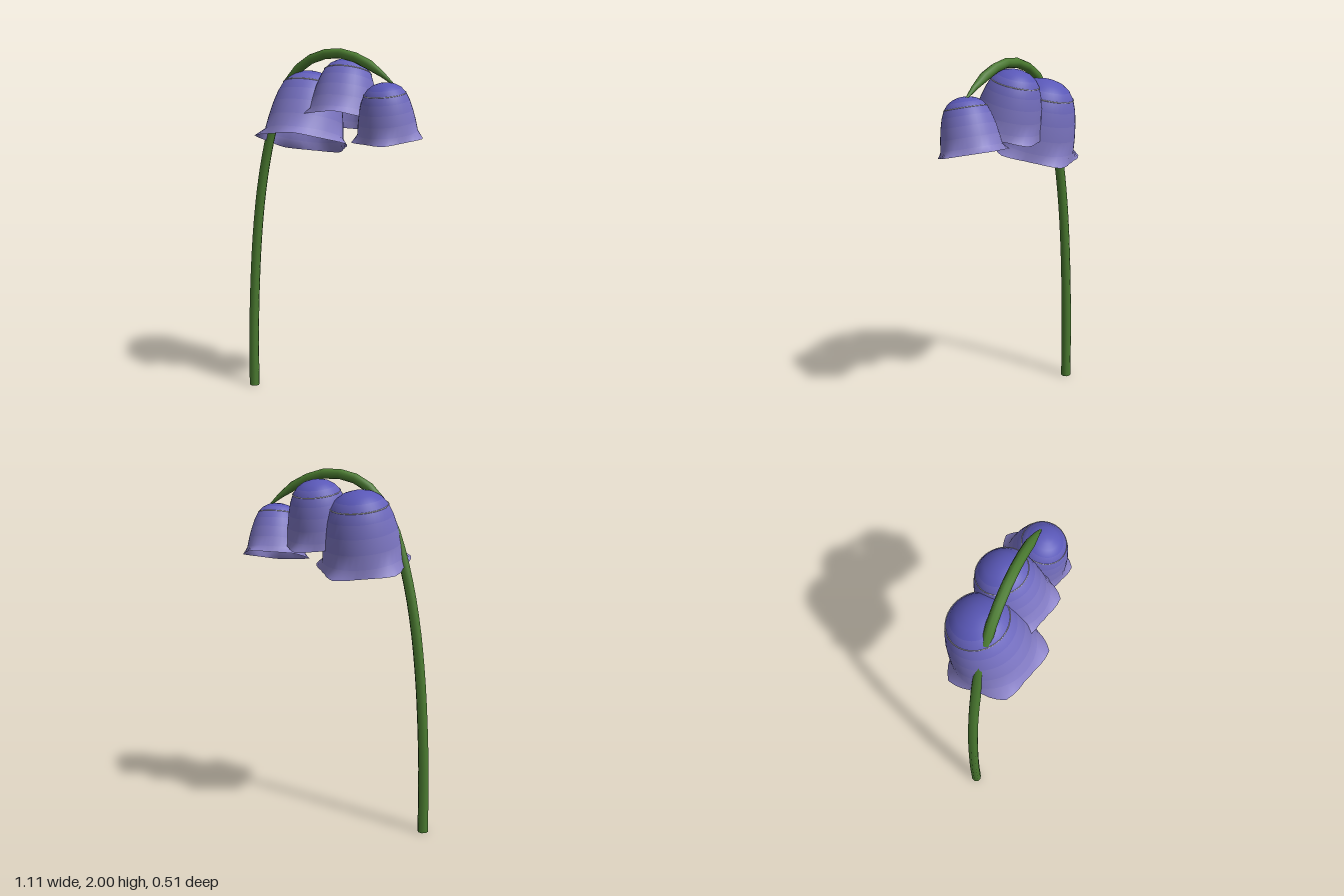
import * as THREE from 'three';
import { mergeVertices } from 'three/addons/utils/BufferGeometryUtils.js';

// Bell profile from crown to mouth: [height above mouth, radius]
const PROFILE = [
  [0.405, 0], [0.402, 0.04], [0.389, 0.085], [0.363, 0.125], [0.325, 0.155],
  [0.27, 0.178], [0.2, 0.197], [0.12, 0.212], [0.045, 0.222], [0, 0.235],
];
const SEGMENTS = 40;

// Colour runs from deep violet at the crown to pale lilac at the lip
const bellMaterials = PROFILE.slice(1).map((_, i, rows) => new THREE.MeshStandardMaterial({
  color: new THREE.Color(0x5a58b8).lerp(new THREE.Color(0x8a82c8), Math.max(0, i - 2) / (rows.length - 3)),
  side: THREE.DoubleSide,
}));
const stemMaterial = new THREE.MeshStandardMaterial({ color: 0x4a7a30 });
const ringMaterial = new THREE.MeshStandardMaterial({ color: 0xd8d8d8 });

// A plane rolled round the profile; the last row flares into five pointed lobes
function bellGeometry() {
  const rows = PROFILE.length - 1;
  const geo = new THREE.PlaneGeometry(1, 1, SEGMENTS, rows);
  const pos = geo.attributes.position;
  for (let i = 0; i < pos.count; i++) {
    const col = i % (SEGMENTS + 1);
    const row = Math.floor(i / (SEGMENTS + 1));
    const angle = ((col % SEGMENTS) / SEGMENTS) * Math.PI * 2;
    let [h, r] = PROFILE[row];
    if (row === rows) {
      const step = (((col - 10) % 8) + 8) % 8; // columns past the nearest lobe tip
      r += 0.04 * Math.max(0, 1 - Math.min(step, 8 - step) / 3);
    }
    pos.setXYZ(i, r * Math.sin(angle), h, r * Math.cos(angle));
  }
  geo.deleteAttribute('uv');
  geo.deleteAttribute('normal');
  for (let row = 0; row < rows; row++) geo.addGroup(row * SEGMENTS * 6, SEGMENTS * 6, row);
  const merged = mergeVertices(geo, 1e-5);
  merged.computeVertexNormals();
  return merged;
}

// Stem tube, tapering slightly upward and drawn to a point at the last flower
function stemGeometry() {
  const path = new THREE.CatmullRomCurve3([
    [-0.525, 0], [-0.52, 0.4], [-0.49, 0.9], [-0.445, 1.25], [-0.385, 1.52], [-0.325, 1.7],
    [-0.22, 1.87], [-0.11, 1.945], [0.03, 1.973], [0.15, 1.95], [0.28, 1.885], [0.395, 1.797],
  ].map(([x, y]) => new THREE.Vector3(x, y, 0)));
  const rings = 28, sides = 8;
  const geo = new THREE.TubeGeometry(path, rings, 1, sides);
  const pos = geo.attributes.position;
  const v = new THREE.Vector3();
  for (let i = 0; i < pos.count; i++) {
    const t = Math.floor(i / (sides + 1)) / rings;
    const centre = path.getPointAt(t);
    const radius = (0.03 - 0.004 * t) * Math.min(1, 0.15 + (1 - t) / 0.08);
    v.fromBufferAttribute(pos, i).sub(centre).multiplyScalar(radius).add(centre);
    pos.setXYZ(i, v.x, v.y, v.z);
  }
  return geo;
}

export function createModel() {
  const group = new THREE.Group();

  const stem = new THREE.Mesh(stemGeometry(), stemMaterial);
  stem.name = 'stem';
  group.add(stem);

  // Cut end of the stem
  const cut = new THREE.Mesh(new THREE.CircleGeometry(0.03, 8), stemMaterial);
  cut.name = 'stemBase';
  cut.rotation.x = Math.PI / 2;
  cut.position.set(-0.525, 0.001, 0);
  group.add(cut);

  // Hanging bells: mouth centre, scale and tilt in degrees
  const bell = bellGeometry();
  const ring = new THREE.TorusGeometry(0.156, 0.003, 4, SEGMENTS);
  [
    ['largeBell', [-0.165, 1.487, 0], 1, -15],
    ['middleBell', [0.08, 1.612, 0], 0.83, -15],
    ['smallBell', [0.354, 1.525, -0.01], 0.72, 11],
  ].forEach(([name, position, scale, tilt]) => {
    const flower = new THREE.Group();
    flower.name = name;
    const petals = new THREE.Mesh(bell, bellMaterials);
    petals.name = 'petals';
    const line = new THREE.Mesh(ring, ringMaterial);
    line.name = 'crownLine';
    line.rotation.x = Math.PI / 2;
    line.position.y = 0.325;
    flower.add(petals, line);
    flower.position.set(...position);
    flower.scale.setScalar(scale);
    flower.rotation.x = THREE.MathUtils.degToRad(tilt);
    group.add(flower);
  });

  return group;
}
